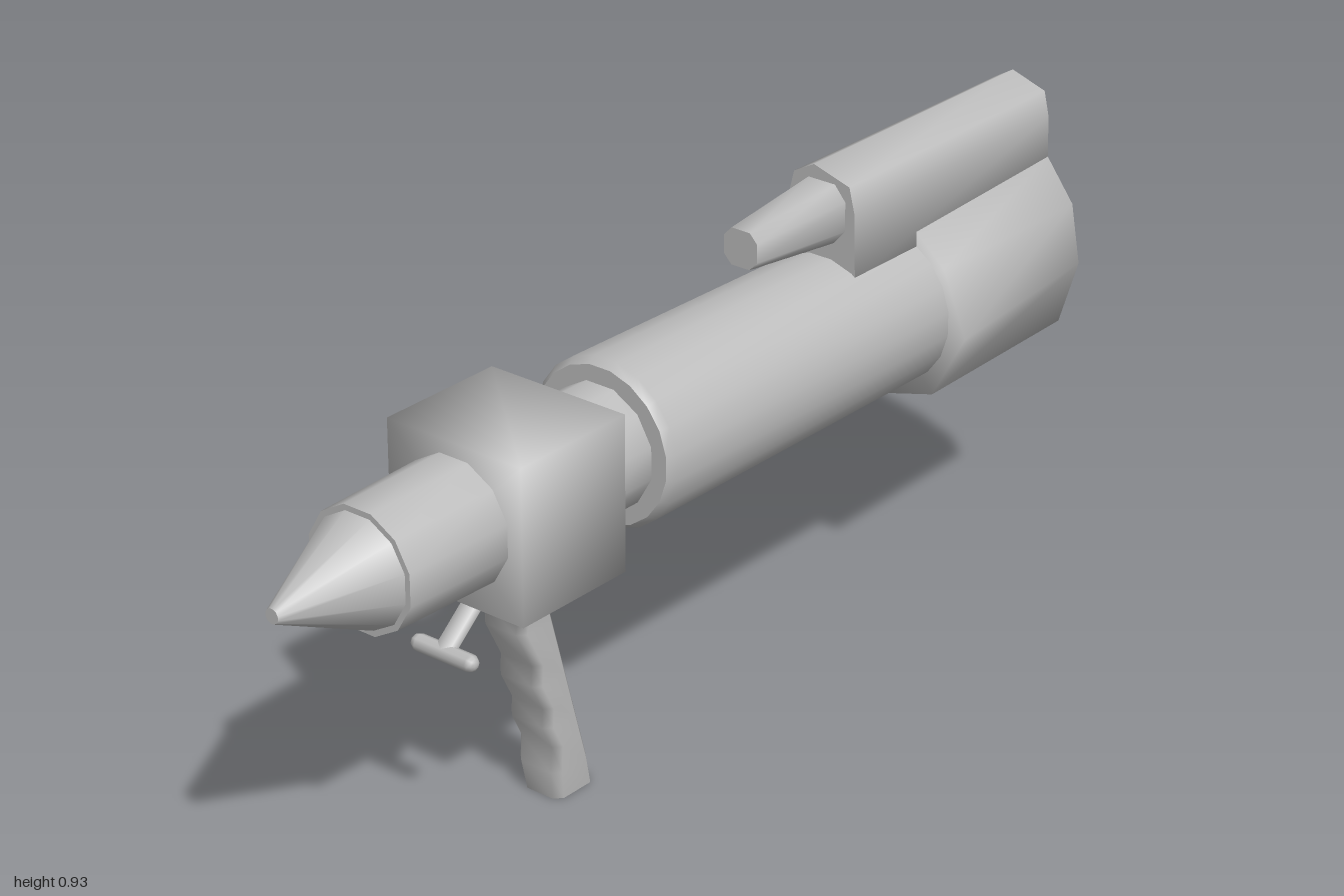
import * as THREE from 'three';

const grey = new THREE.MeshStandardMaterial({ color: 0xbdbdbd });
grey.name = 'grey';

// Skin a list of equal-length cross-sections; hard caps get their own vertices.
function loft(rings, hardCaps = true) {
  const n = rings[0].length, pos = rings.flat(2), idx = [];
  for (let r = 0; r < rings.length - 1; r++) {
    for (let i = 0; i < n; i++) {
      const a = r * n + i, b = r * n + (i + 1) % n;
      idx.push(a, a + n, b + n, a, b + n, b);
    }
  }
  const cap = (r, flip) => {
    let base = r * n;
    if (hardCaps) {
      base = pos.length / 3;
      pos.push(...rings[r].flat());
    }
    const c = pos.length / 3;
    pos.push(...[0, 1, 2].map(k => rings[r].reduce((s, p) => s + p[k], 0) / n));
    for (let i = 0; i < n; i++) {
      const a = base + i, b = base + (i + 1) % n;
      idx.push(c, flip ? b : a, flip ? a : b);
    }
  };
  cap(0, false);
  cap(rings.length - 1, true);
  const g = new THREE.BufferGeometry();
  g.setAttribute('position', new THREE.Float32BufferAttribute(pos, 3));
  g.setIndex(idx);
  g.computeVertexNormals();
  return g;
}

// Regular polygon facing +z
const circle = (z, r, sides, y = 0.613) => Array.from({ length: sides }, (_, i) => {
  const a = (i + 0.5) / sides * Math.PI * 2;
  return [r * Math.cos(a), y + r * Math.sin(a), z];
});
const section = (z, pts) => pts.map(([x, y]) => [x, y, z]);
const rect = (z, w, y0, y1) => section(z, [[w, y0], [w, y1], [-w, y1], [-w, y0]]);

export function createModel() {
  const model = new THREE.Group();
  const add = (name, geometry) => {
    const m = new THREE.Mesh(geometry, grey);
    m.name = name;
    model.add(m);
    return m;
  };

  // Barrel line, front to back
  add('noseCone', loft([circle(1, 0.014, 12), circle(0.8, 0.104, 12)]));
  add('frontBarrel', loft([circle(0.8, 0.115, 12), circle(0.56, 0.12, 12)]));
  add('block', loft([rect(0.572, 0.147, 0.463, 0.756), rect(0.313, 0.147, 0.463, 0.756)], false));
  add('neck', loft([circle(0.33, 0.117, 12), circle(0.19, 0.117, 12)]));
  add('mainTube', loft([
    circle(0.205, 0.147, 20), circle(0.19, 0.158, 20), circle(-0.62, 0.153, 20, 0.605),
  ]));

  // Faceted rear housing
  add('rearHousing', loft([
    section(-0.585, [[0.19, 0.585], [0.14, 0.71], [0.07, 0.77], [-0.08, 0.78],
      [-0.15, 0.71], [-0.18, 0.59], [-0.12, 0.46], [0, 0.422], [0.12, 0.455]]),
    section(-1, [[0.15, 0.585], [0.13, 0.70], [0.07, 0.78], [-0.08, 0.78],
      [-0.14, 0.71], [-0.19, 0.585], [-0.11, 0.45], [0, 0.428], [0.11, 0.455]]),
  ], false));

  // Top housing with its tapered sight
  const hump = (z, s) => section(z, [[0.078 * s, 0.73], [0.074 * s, 0.86], [0.062 * s, 0.908],
    [-0.018 * s, 0.932], [-0.062 * s, 0.908], [-0.074 * s, 0.86], [-0.078 * s, 0.73]]);
  add('topHousing', loft([hump(-0.4, 1), hump(-1, 0.92)]));
  const sight = (z, w, h, y) => section(z, [[w, -0.5 * h], [w, 0.5 * h], [0.55 * w, h],
    [-0.55 * w, h], [-w, 0.5 * h], [-w, -0.5 * h], [-0.55 * w, -h], [0.55 * w, -h]]
    .map(([x, v]) => [x, v + y]));
  add('sight', loft([sight(-0.172, 0.037, 0.035, 0.85), sight(-0.42, 0.055, 0.058, 0.849)]));

  // Raked grip with finger grooves: [y, front z]
  const grip = [[0.475, 0.505], [0.40, 0.46], [0.366, 0.467], [0.29, 0.428], [0.25, 0.43],
    [0.195, 0.402], [0.158, 0.404], [0.11, 0.38], [0.06, 0.383], [0.003, 0.374]];
  add('grip', loft(grip.map(([y, zf], i) => {
    const zb = 0.275 + 0.28 * y, w = i === grip.length - 1 ? 0.043 : 0.048, c = 0.014;
    return [[w, y, zf - c], [w, y, zb + c], [w - c, y, zb], [c - w, y, zb],
      [-w, y, zb + c], [-w, y, zf - c], [c - w, y, zf], [w - c, y, zf]];
  })));

  // T-shaped trigger
  const stem = new THREE.CylinderGeometry(0.022, 0.022, 0.15, 8);
  stem.scale(1, 1, 0.6);
  const trigger = add('triggerStem', stem);
  trigger.position.set(0, 0.43, 0.55);
  trigger.rotation.x = -0.87;
  trigger.rotation.x = Math.PI - 0.87;
  const bar = add('triggerBar', new THREE.CapsuleGeometry(0.016, 0.112, 4, 8));
  bar.rotation.z = Math.PI / 2;
  bar.position.set(0, 0.38, 0.605);
  return model;
}
